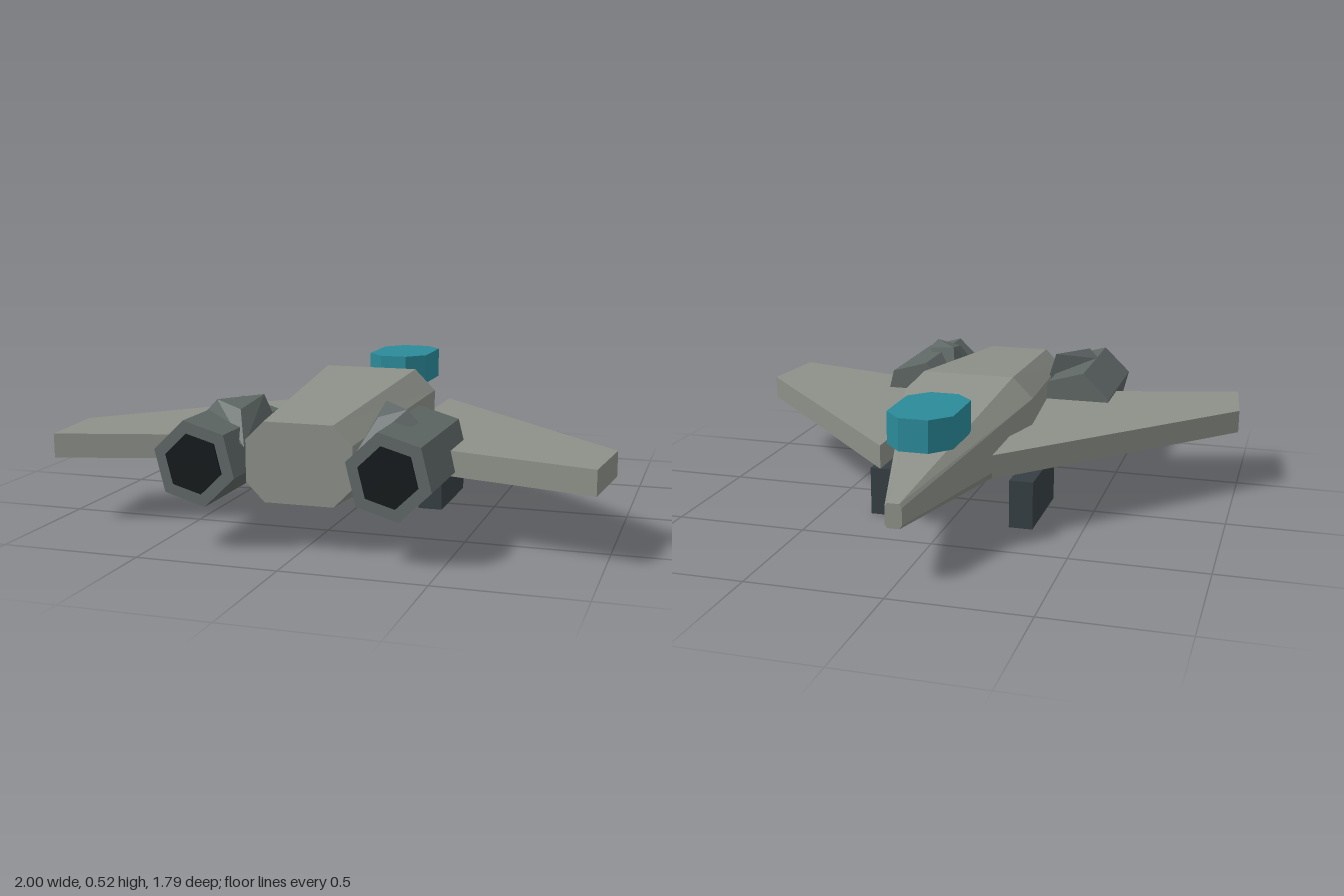
import * as THREE from 'three';
import { ConvexGeometry } from 'three/addons/geometries/ConvexGeometry.js';

const mat = (color) => new THREE.MeshStandardMaterial({ color, flatShading: true });
const hull = mat(0x8c9088), metal = mat(0x5f6866), dark = mat(0x363f44);
const black = mat(0x14191b), glass = mat(0x2a8a99);

function add(parent, name, geometry, material, x = 0, y = 0, z = 0) {
  const mesh = new THREE.Mesh(geometry, material);
  mesh.name = name;
  mesh.position.set(x, y, z);
  parent.add(mesh);
  return mesh;
}

// Flat outline in (x, z), extruded upward by h
function slab(points, h) {
  const shape = new THREE.Shape(points.map(([x, z]) => new THREE.Vector2(x, -z)));
  return new THREE.ExtrudeGeometry(shape, { depth: h, bevelEnabled: false }).rotateX(-Math.PI / 2);
}

// Octagonal ring: half width, half flat width, bottom, lower side, upper side, top
function ring([z, w, f, y0, y1, y2, y3]) {
  return [[w, y1], [w, y2], [f, y3], [-f, y3], [-w, y2], [-w, y1], [-f, y0], [f, y0]]
    .map(([x, y]) => [x, y, z]);
}

function loft(sections) {
  const rings = sections.map(ring), pos = [];
  const n = rings[0].length, tri = (...p) => p.forEach((v) => pos.push(...v));
  for (let s = 0; s < rings.length - 1; s++) {
    const a = rings[s], b = rings[s + 1];
    for (let i = 0; i < n; i++) {
      const j = (i + 1) % n;
      tri(a[i], a[j], b[j]);
      tri(a[i], b[j], b[i]);
    }
  }
  const first = rings[0], last = rings[rings.length - 1];
  for (let i = 1; i < n - 1; i++) {
    tri(first[0], first[i + 1], first[i]);
    tri(last[0], last[i], last[i + 1]);
  }
  const g = new THREE.BufferGeometry();
  g.setAttribute('position', new THREE.Float32BufferAttribute(pos, 3));
  g.computeVertexNormals();
  return g;
}

const hexagon = (r, length) =>
  new THREE.CylinderGeometry(r, r, length, 6, 1, false, THREE.MathUtils.degToRad(14)).rotateX(Math.PI / 2);

export function createModel() {
  const model = new THREE.Group();
  model.name = 'jet';

  // Fuselage, nose to tail
  add(model, 'fuselage', loft([
    [-0.895, 0.03, 0.021, 0.203, 0.216, 0.277, 0.29],
    [-0.02, 0.255, 0.177, 0.157, 0.235, 0.437, 0.515],
    [0.795, 0.188, 0.122, 0.167, 0.233, 0.378, 0.443],
  ]), hull);

  // Canopy
  add(model, 'canopy', slab([
    [-0.053, -0.685], [0.053, -0.685], [0.12, -0.612], [0.12, -0.395],
    [0.053, -0.325], [-0.053, -0.325], [-0.12, -0.395], [-0.12, -0.612],
  ], 0.117), glass, 0, 0.4, 0);

  for (const [s, side] of [[1, 'left'], [-1, 'right']]) {
    // Swept wing
    const outline = [[0.21, -0.44], [1, 0.4], [0.97, 0.705], [0.21, 0.5]].map(([x, z]) => [s * x, z]);
    add(model, side + 'Wing', slab(outline, 0.088), hull, 0, 0.246, 0);

    // Engine with nozzle
    add(model, side + 'Engine', hexagon(0.149, 0.51), metal, s * 0.336, 0.304, 0.63);
    add(model, side + 'Nozzle', hexagon(0.104, 0.05), black, s * 0.336, 0.304, 0.867);

    // Canted tail fin, mostly buried in the engine
    add(model, side + 'Fin', new ConvexGeometry([
      [0.195, 0.35, 0.46], [0.195, 0.35, 0.79], [0.225, 0.487, 0.53],
      [0.34, 0.487, 0.676], [0.38, 0.445, 0.675], [0.245, 0.46, 0.695],
    ].map(([x, y, z]) => new THREE.Vector3(s * x, y, z))), metal);

    // Landing skid
    add(model, side + 'Skid', new THREE.BoxGeometry(0.09, 0.184, 0.363), dark, s * 0.272, 0.092, -0.078);
  }
  return model;
}
